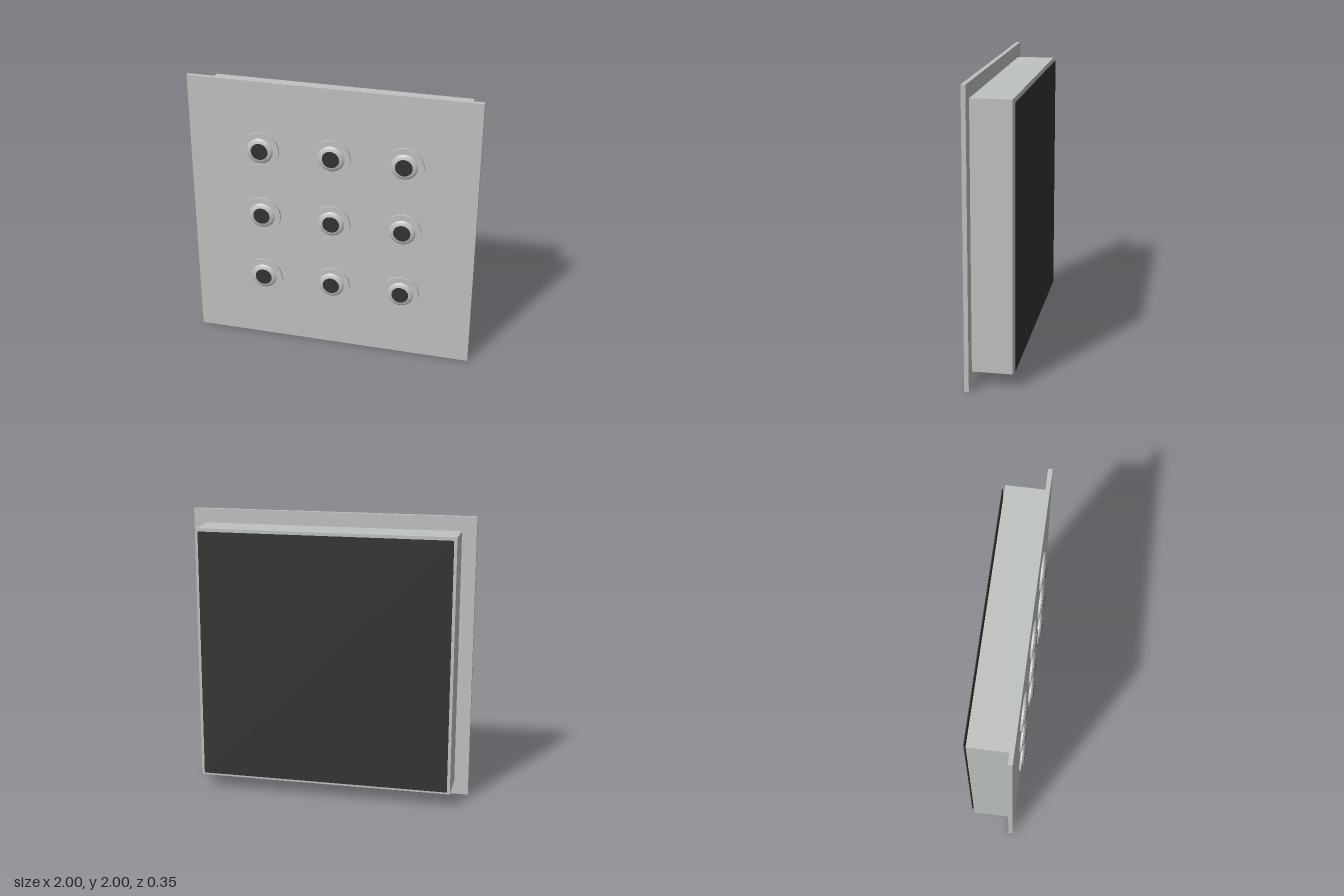
import * as THREE from 'three';

export function createModel() {
  const model = new THREE.Group();
  const grey = new THREE.MeshStandardMaterial({ name: 'light grey metal', color: 0xbec2c0 });
  const dark = new THREE.MeshStandardMaterial({ name: 'dark grey', color: 0x333333 });

  const add = (parent, name, geometry, material, x, y, z) => {
    const mesh = new THREE.Mesh(geometry, material);
    mesh.name = name;
    mesh.position.set(x, y, z);
    parent.add(mesh);
  };

  // Front plate, housing behind it and thin dark backing sheet
  add(model, 'frontPlate', new THREE.BoxGeometry(2, 2, 0.03), grey, 0, 1, 0.13);
  add(model, 'housing', new THREE.BoxGeometry(1.8, 1.8, 0.27), grey, 0, 1, -0.02);
  add(model, 'backSheet', new THREE.BoxGeometry(1.76, 1.76, 0.006), dark, 0, 1, -0.17);

  // Shared nozzle shapes, turned so their axis points forward
  const flange = new THREE.CylinderGeometry(0.133, 0.133, 0.014, 32).rotateX(Math.PI / 2);
  const profile = [[0.092, 0], [0.087, 0.006], [0.077, 0.012], [0.06, 0.016]];
  const collar = new THREE.LatheGeometry(profile.map(([r, h]) => new THREE.Vector2(r, h)), 32)
    .rotateX(Math.PI / 2);
  const opening = new THREE.CircleGeometry(0.06, 32);

  // Three by three grid of nozzles
  for (let row = 0; row < 3; row++) {
    for (let col = 0; col < 3; col++) {
      const nozzle = new THREE.Group();
      nozzle.name = 'nozzle';
      nozzle.position.set((col - 1) * 0.5, 0.5 + row * 0.5, 0.145);
      add(nozzle, 'flange', flange, grey, 0, 0, 0.007);
      add(nozzle, 'collar', collar, grey, 0, 0, 0.014);
      add(nozzle, 'opening', opening, dark, 0, 0, 0.03);
      model.add(nozzle);
    }
  }
  return model;
}
